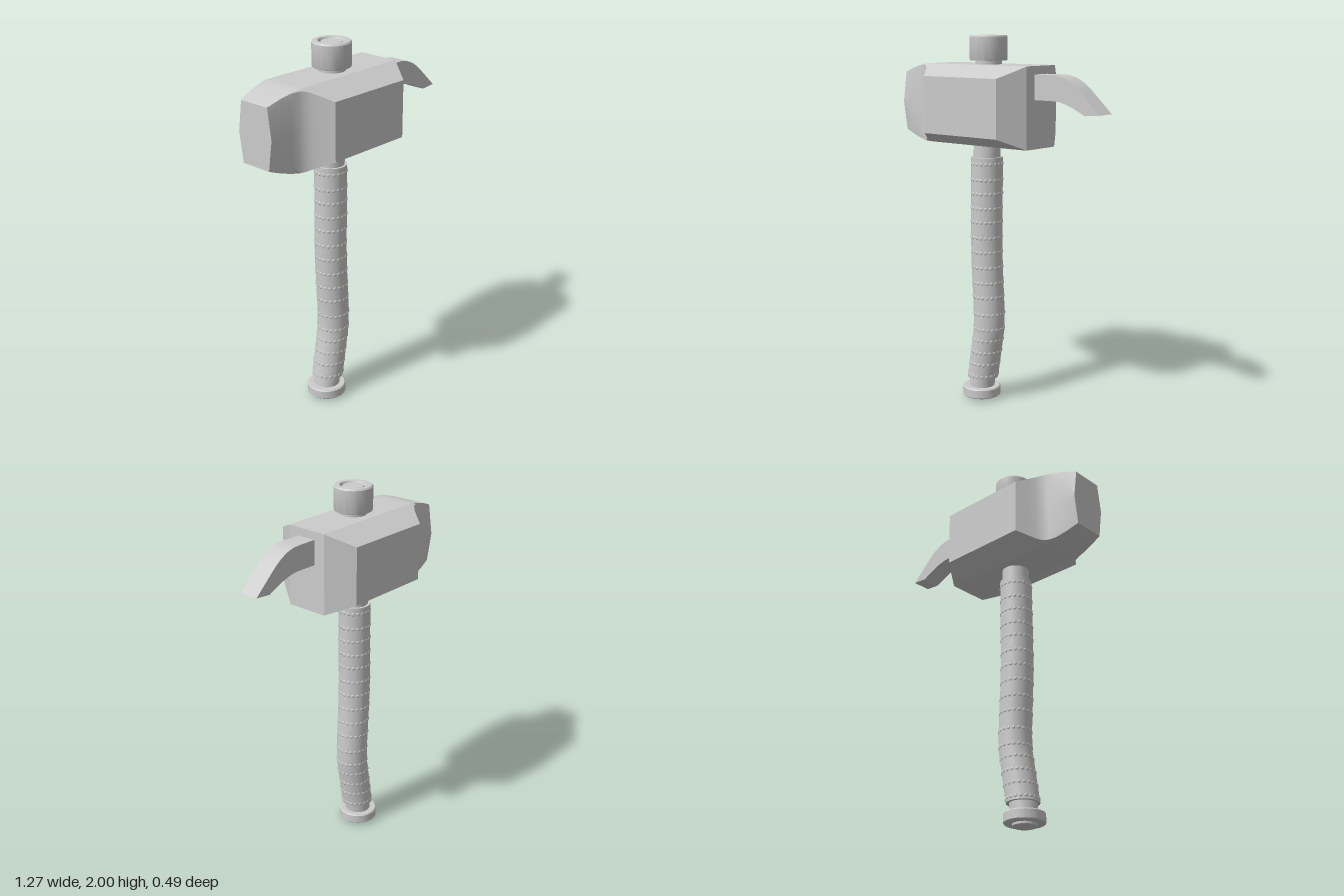
import * as THREE from 'three';
import { mergeGeometries, toCreasedNormals } from 'three/addons/utils/BufferGeometryUtils.js';

const grey = new THREE.MeshStandardMaterial({ color: 0xcccccc });

function addPart(group, name, geometry, crease = 0.5) {
  const mesh = new THREE.Mesh(toCreasedNormals(geometry, crease), grey);
  mesh.name = name;
  group.add(mesh);
  return mesh;
}

// Centre line of the bent handle: [y, x]
const spine = [[0, -0.172], [0.07, -0.17], [0.12, -0.163], [0.4, -0.117], [0.5, -0.115],
  [0.75, -0.128], [0.9, -0.132], [1.36, -0.127], [1.45, -0.125]];
function spineX(y) {
  let i = 0;
  while (i < spine.length - 2 && y > spine[i + 1][0]) i++;
  const [y0, x0] = spine[i], [y1, x1] = spine[i + 1];
  return THREE.MathUtils.lerp(x0, x1, (y - y0) / (y1 - y0));
}

// Upright cylinder whose rings follow the handle's centre line
function bentCylinder(radius, y0, y1, rings) {
  const g = new THREE.CylinderGeometry(radius, radius, y1 - y0, 36, rings);
  g.translate(0, (y0 + y1) / 2, 0);
  const p = g.attributes.position;
  for (let i = 0; i < p.count; i++) p.setX(i, p.getX(i) + spineX(p.getY(i)));
  return g;
}

function lathe(points, x) {
  const g = new THREE.LatheGeometry(points.map(([r, y]) => new THREE.Vector2(r, y)), 48);
  return g.translate(x, 0, 0);
}

// Head cross-section: half width and height of the top edge, side edge and waist
function headSection([x, topZ, topY, sideZ, sideY, midZ]) {
  const q = [[midZ, 0], [sideZ, sideY], [topZ, topY], [-topZ, topY], [-sideZ, sideY],
    [-midZ, 0], [-sideZ, -sideY], [-topZ, -topY], [topZ, -topY], [sideZ, -sideY]];
  return q.map(([z, y]) => [x, 1.64 + y, z]);
}

function loft(sections) {
  const pos = [], n = sections[0].length;
  const tri = (...corners) => corners.forEach((c) => pos.push(...c));
  for (let i = 0; i < sections.length - 1; i++) {
    for (let j = 0; j < n; j++) {
      const k = (j + 1) % n, s = sections[i], t = sections[i + 1];
      tri(s[j], t[j], s[k]);
      tri(t[j], t[k], s[k]);
    }
  }
  const first = sections[0], last = sections[sections.length - 1];
  for (let j = 0; j < n; j++) {
    const k = (j + 1) % n;
    tri([first[0][0], 1.64, 0], first[j], first[k]);
    tri([last[0][0], 1.64, 0], last[k], last[j]);
  }
  const g = new THREE.BufferGeometry();
  g.setAttribute('position', new THREE.Float32BufferAttribute(pos, 3));
  return g;
}

export function createModel() {
  const model = new THREE.Group();
  model.name = 'warHammer';

  // Faceted head with a concave neck leading to the striking face
  const sections = [
    [-0.638, 0.088, 0.157, 0.093, 0.122, 0.111],
    [-0.57, 0.1, 0.182, 0.104, 0.14, 0.111],
    [-0.51, 0.11, 0.198, 0.115, 0.16, 0.116],
    [-0.47, 0.114, 0.207, 0.122, 0.202, 0.122],
    [-0.44, 0.115, 0.21, 0.137, 0.2, 0.137],
    [-0.415, 0.115, 0.21, 0.16, 0.189, 0.16],
    [-0.39, 0.115, 0.21, 0.192, 0.175, 0.192],
    [-0.35, 0.115, 0.21, 0.246, 0.15, 0.246],
    [0.145, 0.115, 0.21, 0.246, 0.15, 0.246],
    [0.235, 0.114, 0.21, 0.115, 0.209, 0.115],
  ];
  addPart(model, 'head', loft(sections.map(headSection)), 0.33);

  // Curved pick
  const pick = new THREE.Shape();
  pick.moveTo(0.22, 1.68);
  pick.lineTo(0.36, 1.68);
  pick.quadraticCurveTo(0.43, 1.678, 0.547, 1.617);
  pick.lineTo(0.634, 1.624);
  pick.lineTo(0.53, 1.72);
  pick.quadraticCurveTo(0.44, 1.807, 0.35, 1.808);
  pick.lineTo(0.22, 1.808);
  const pickGeometry = new THREE.ExtrudeGeometry(pick,
    { depth: 0.106, bevelEnabled: false, curveSegments: 8 });
  addPart(model, 'pick', pickGeometry.translate(0, 0, -0.053));

  // Cap above the head, with a ring groove in its top
  addPart(model, 'topCap', lathe([[0.07, 1.82], [0.07, 1.87], [0.097, 1.87], [0.1, 1.877],
    [0.1, 1.992], [0.094, 2], [0.07, 2], [0.063, 1.985], [0.058, 1.985], [0.052, 1.995],
    [0, 1.995]], -0.114));

  // Handle
  addPart(model, 'upperShaft', bentCylinder(0.072, 1.34, 1.45, 2));
  addPart(model, 'lowerShaft', bentCylinder(0.07, 0.06, 0.14, 3));
  addPart(model, 'grip', bentCylinder(0.085, 0.12, 1.36, 31));

  // Rows of small dimpled studs around the grip
  const rows = [0.14, 0.21, 0.28, 0.35, 0.415, 0.5, 0.595, 0.675, 0.76, 0.845, 0.925,
    1.01, 1.085, 1.165, 1.24, 1.325];
  const studs = [], perRow = 20;
  for (const y of rows) {
    for (let i = 0; i < perRow; i++) {
      const a = (i / perRow) * Math.PI * 2;
      const stud = new THREE.SphereGeometry(0.01, 8, 3, 0, Math.PI * 2, 0, Math.PI / 2);
      stud.scale(1, 0.4, 1).rotateX(Math.PI / 2).translate(0, 0, 0.0845);
      studs.push(stud.rotateY(a).translate(spineX(y), y, 0));
    }
  }
  addPart(model, 'gripStuds', mergeGeometries(studs), 0.9);

  // Pommel with a plug underneath
  addPart(model, 'pommel', lathe([[0, 0], [0.058, 0], [0.062, 0.004], [0.062, 0.015],
    [0.1, 0.015], [0.105, 0.02], [0.105, 0.064], [0.1, 0.07], [0, 0.07]], -0.172));

  return model;
}
